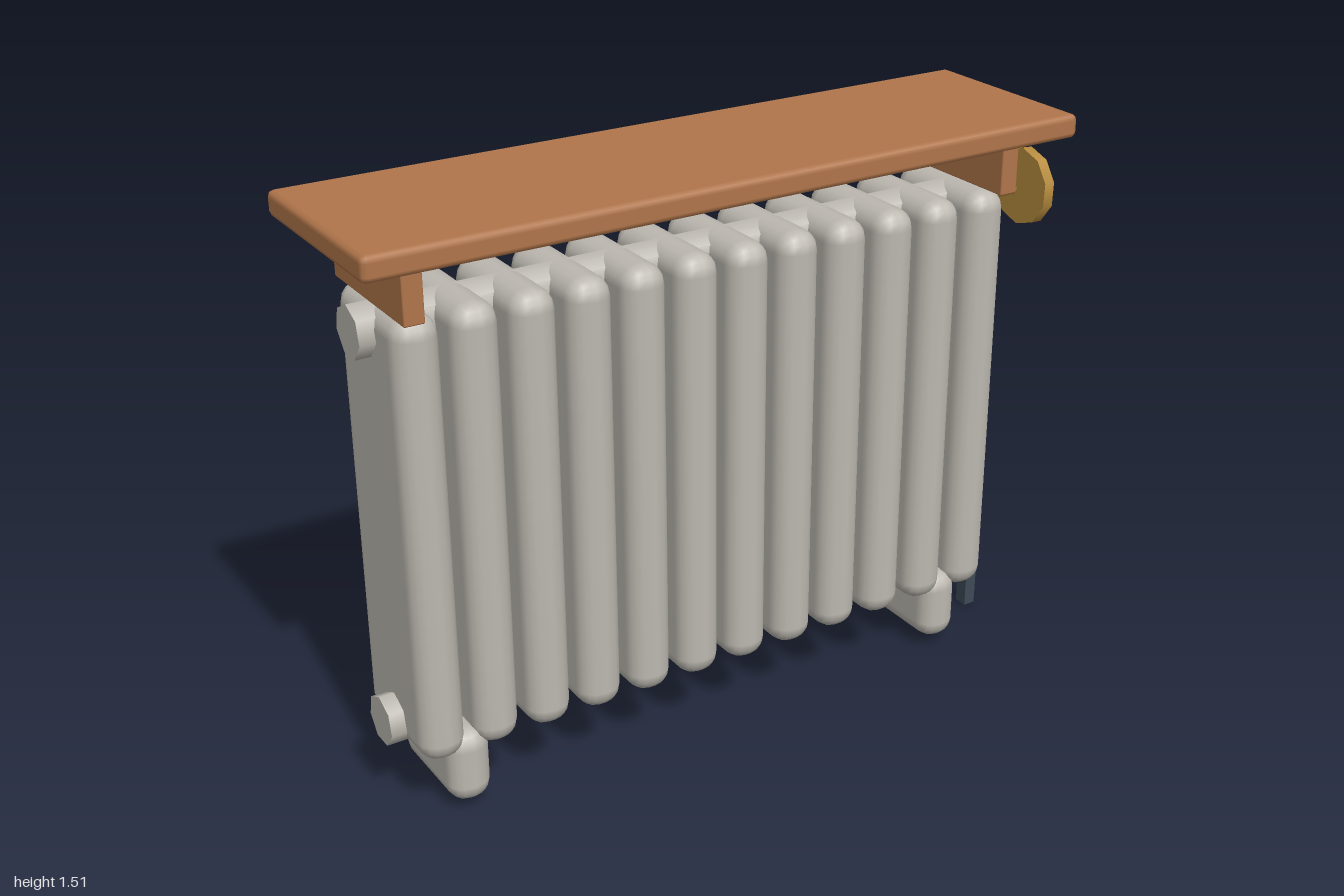
import * as THREE from 'three';
import { RoundedBoxGeometry } from 'three/addons/geometries/RoundedBoxGeometry.js';

const material = (name, color) => {
  const m = new THREE.MeshStandardMaterial({ color });
  m.name = name;
  return m;
};

export function createModel() {
  const enamel = material('grey enamel', 0xbcb8b0);
  const wood = material('brown wood', 0xb0754a);
  const brass = material('brass', 0xb88c3e);
  const darkMetal = material('dark metal', 0x3f4c57);

  const model = new THREE.Group();
  model.name = 'radiator';
  const Z = -0.02; // centre depth of the radiator body

  const add = (name, geometry, mat, x, y, z, parent = model) => {
    const mesh = new THREE.Mesh(geometry, mat);
    mesh.name = name;
    mesh.position.set(x, y, z);
    parent.add(mesh);
    return mesh;
  };
  // Cylinder lying along x, with a vertex at the top
  const rod = (radius, length, sides) => {
    const g = new THREE.CylinderGeometry(radius, radius, length, sides);
    g.rotateZ(-Math.PI / 2);
    g.rotateX(-Math.PI / 2);
    return g;
  };

  // Column sections, with slight waves like hand-cast iron
  const sections = new THREE.Group();
  sections.name = 'sections';
  model.add(sections);
  const sectionGeometry = new RoundedBoxGeometry(0.115, 1.13, 0.34, 2, 0.052);
  for (let i = 0; i < 12; i++) {
    add('section', sectionGeometry, enamel, -0.834 + i * 0.1423, 0.74, Z, sections);
  }

  // Upper and lower header pipes
  for (const y of [0.24, 1.24]) add('headerPipe', rod(0.064, 1.755, 7), enamel, -0.053, y, Z);

  // Feet
  const footGeometry = new RoundedBoxGeometry(0.11, 0.2, 0.315, 2, 0.05);
  for (const x of [-0.765, 0.656]) add('foot', footGeometry, enamel, x, 0.127, Z);

  // Shelf and its brackets
  add('shelf', new RoundedBoxGeometry(1.895, 0.062, 0.52, 1, 0.016), wood, -0.052, 1.479, 0);
  const bracketGeometry = new RoundedBoxGeometry(0.05, 0.15, 0.37, 1, 0.004);
  for (const x of [-0.86, 0.75]) add('shelfBracket', bracketGeometry, wood, x, 1.383, 0);

  // Valve stem and hand wheel
  add('valveStem', rod(0.022, 0.115, 8), brass, 0.888, 1.236, -0.028);
  const wheel = add('valveWheel', rod(0.103, 0.03, 10), brass, 0.982, 1.235, Z);
  wheel.rotation.z = -0.03;

  // Hanging lever beside the lower pipe
  const lever = add('lever', new THREE.BoxGeometry(0.034, 0.212, 0.038), darkMetal, 0.872, 0.108, -0.024);
  lever.rotation.x = 0.035;
  lever.rotation.z = 0.025;

  return model;
}
